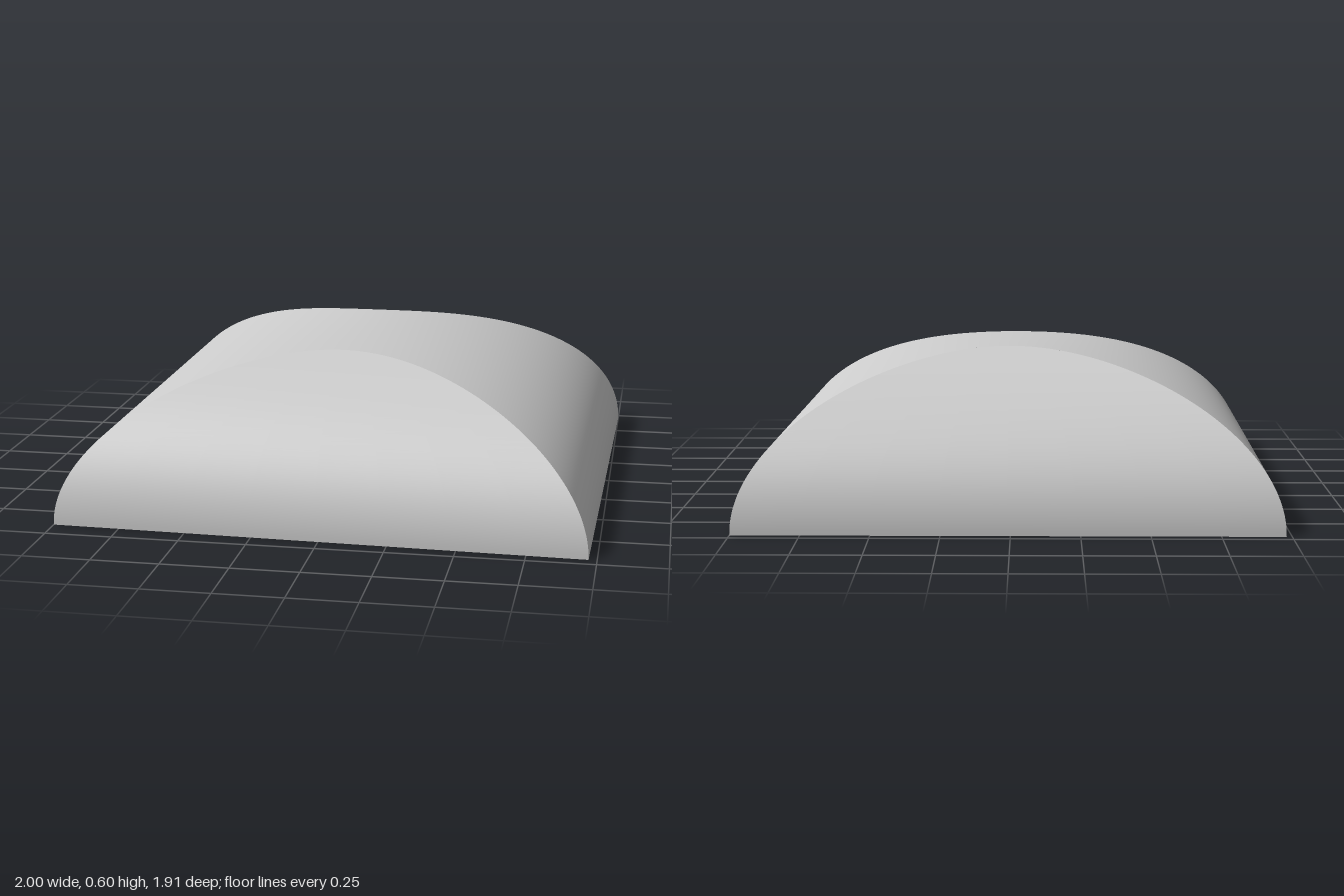
import * as THREE from 'three';

// Footprint corners [x, z], ridge height at the crease, and height of the cross barrel
const FRONT = { left: [-1.0, 0.90], right: [0.97, 0.955], peak: 0.575, rise: 0.62 };
const BACK = { left: [-0.98, -0.96], right: [1.0, -0.96], peak: 0.597, rise: 0.63 };

const material = new THREE.MeshStandardMaterial({ color: 0xcccccc, side: THREE.DoubleSide });

// Point on the crease where the main barrel meets an end cap, t = 0..PI from corner to corner
function crease(end, t) {
  const k = (1 - Math.cos(t)) / 2;
  const y = end.peak * Math.sin(t);
  const edgeZ = THREE.MathUtils.lerp(end.left[1], end.right[1], k);
  return new THREE.Vector3(
    THREE.MathUtils.lerp(end.left[0], end.right[0], k),
    y,
    edgeZ * Math.sqrt(1 - (y / end.rise) ** 2)
  );
}

// Smooth surface ruled between two curves, from(t) to to(t)
function ruledPanel(name, from, to, tMax, rows, cols) {
  const positions = [];
  const index = [];
  for (let i = 0; i <= rows; i++) {
    const t = (tMax * i) / rows;
    const a = from(t);
    const b = to(t);
    for (let j = 0; j <= cols; j++) {
      positions.push(...a.clone().lerp(b, j / cols).toArray());
      if (i < rows && j < cols) {
        const p = i * (cols + 1) + j;
        const q = p + cols + 1;
        index.push(p, q, p + 1, q, q + 1, p + 1);
      }
    }
  }
  const geometry = new THREE.BufferGeometry();
  geometry.setAttribute('position', new THREE.Float32BufferAttribute(positions, 3));
  geometry.setIndex(index);
  geometry.computeVertexNormals();
  const mesh = new THREE.Mesh(geometry, material);
  mesh.name = name;
  return mesh;
}

export function createModel() {
  const group = new THREE.Group();
  group.name = 'vaultedRoof';
  const half = Math.PI / 2 - 0.001;

  // Main barrel from side to side, open underneath
  group.add(ruledPanel('mainBarrel', (t) => crease(FRONT, t), (t) => crease(BACK, t), Math.PI, 96, 6));

  // Curved caps closing both ends
  group.add(ruledPanel('frontCap', (t) => crease(FRONT, Math.PI - t), (t) => crease(FRONT, t), half, 48, 8));
  group.add(ruledPanel('backCap', (t) => crease(BACK, t), (t) => crease(BACK, Math.PI - t), half, 48, 8));

  return group;
}
